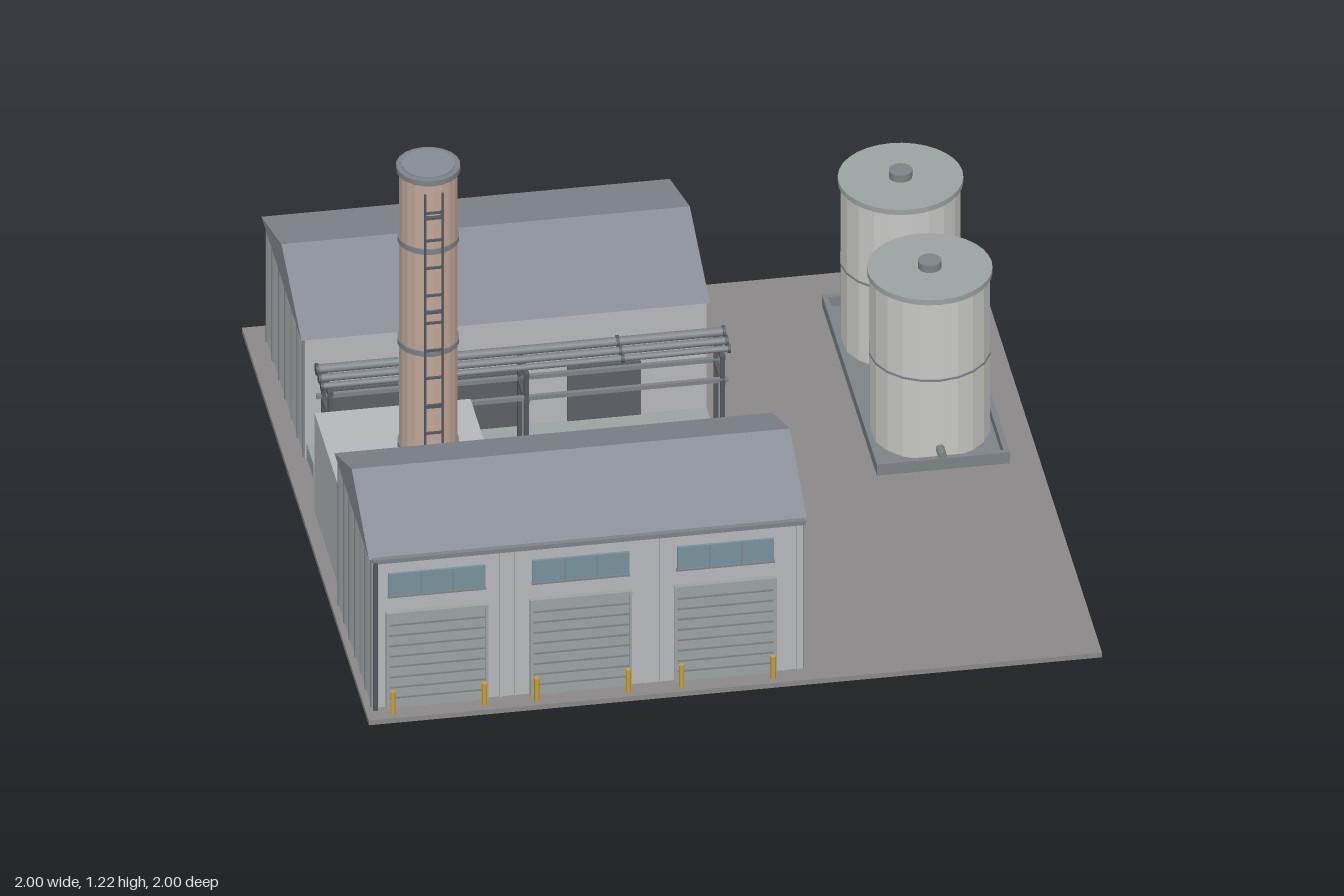
import * as THREE from 'three';

const mat = (color, extra = {}) => new THREE.MeshStandardMaterial({ color, ...extra });
const M = {
  ground: mat(0x8b898a), wall: mat(0xb6b8bb), roof: mat(0x878d95), door: mat(0x9ba3a3),
  glass: mat(0x78929d), steel: mat(0x55595e), trim: mat(0x7d8388), yellow: mat(0xc9a032),
  brick: mat(0xc0a797, { flatShading: true }), tank: mat(0xc8c8c3, { flatShading: true }),
  lid: mat(0x9ba3a3), dark: mat(0x5c6167),
};
const G = 0.015; // top of the yard slab

function add(parent, name, geometry, material, x = 0, y = 0, z = 0) {
  const mesh = new THREE.Mesh(geometry, material);
  mesh.name = name;
  mesh.position.set(x, y, z);
  parent.add(mesh);
  return mesh;
}

// Box given by its extents on each axis
function box(parent, name, material, [x0, x1], [y0, y1], [z0, z1]) {
  return add(parent, name, new THREE.BoxGeometry(x1 - x0, y1 - y0, z1 - z0), material,
    (x0 + x1) / 2, (y0 + y1) / 2, (z0 + z1) / 2);
}

// Upright cylinder from y0 to y1
function column(parent, name, material, r, y0, y1, x, z, sides = 24) {
  return add(parent, name, new THREE.CylinderGeometry(r, r, y1 - y0, sides), material, x, (y0 + y1) / 2, z);
}

// Cylinder lying along x or z
function pipe(parent, name, material, r, length, axis, x, y, z) {
  const m = add(parent, name, new THREE.CylinderGeometry(r, r, length, 10), material, x, y, z);
  if (axis === 'x') m.rotation.z = Math.PI / 2;
  else m.rotation.x = Math.PI / 2;
  return m;
}

function group(parent, name) {
  const g = new THREE.Group();
  g.name = name;
  parent.add(g);
  return g;
}

// Solid triangular roof with its ridge along x
function gableRoof(parent, [x0, x1], [z0, z1], eave, ridge) {
  const s = new THREE.Shape();
  s.moveTo(-z1, eave);
  s.lineTo(-z0, eave);
  s.lineTo(-(z0 + z1) / 2, ridge);
  const geo = new THREE.ExtrudeGeometry(s, { depth: x1 - x0, bevelEnabled: false });
  geo.rotateY(Math.PI / 2);
  add(parent, 'gableRoof', geo, M.roof, x0, 0, 0);
}

// Thin cladding ribs along an end wall at x
function endRibs(parent, x, z0, z1, top, count) {
  for (let i = 0; i <= count; i++) {
    const z = z0 + ((z1 - z0) * i) / count;
    box(parent, 'endRib', M.trim, [x - 0.004, x + 0.004], [G, top], [z - 0.003, z + 0.003]);
  }
}

function frontHall(root) {
  const g = group(root, 'frontHall');
  box(g, 'walls', M.wall, [-0.98, 0.195], [G, 0.49], [0.41, 0.94]);
  gableRoof(g, [-0.99, 0.205], [0.4, 0.945], 0.49, 0.61);
  box(g, 'gutter', M.trim, [-0.98, 0.2], [0.48, 0.493], [0.94, 0.955]);
  endRibs(g, 0.195, 0.42, 0.93, 0.49, 6);
  endRibs(g, -0.98, 0.42, 0.93, 0.49, 6);
  for (let i = 0; i <= 12; i++) {
    const x = -0.97 + i * 0.096;
    box(g, 'backRib', M.trim, [x - 0.003, x + 0.003], [G, 0.49], [0.405, 0.411]);
  }
  column(g, 'drainpipe', M.steel, 0.007, G, 0.485, -0.973, 0.95, 8);

  for (const x of [-0.805, -0.4125, -0.0175]) {
    // Slatted shutter in its frame
    box(g, 'shutter', M.door, [x - 0.135, x + 0.135], [G, 0.315], [0.94, 0.948]);
    for (let k = 1; k < 9; k++) {
      const y = G + k * 0.033;
      box(g, 'shutterSlat', M.trim, [x - 0.13, x + 0.13], [y - 0.002, y + 0.002], [0.947, 0.952]);
    }
    for (const s of [-1, 1]) {
      box(g, 'doorFrame', M.door, [x + s * 0.135 - 0.004, x + s * 0.135 + 0.004], [G, 0.315], [0.94, 0.953]);
      column(g, 'bollard', M.yellow, 0.007, G, 0.085, x + s * 0.125, 0.975, 10);
    }
    box(g, 'doorHead', M.door, [x - 0.139, x + 0.139], [0.31, 0.319], [0.94, 0.955]);
    // Strip window
    box(g, 'window', M.glass, [x - 0.132, x + 0.132], [0.37, 0.44], [0.938, 0.947]);
    for (const dx of [-0.044, 0.044]) {
      box(g, 'mullion', M.trim, [x + dx - 0.002, x + dx + 0.002], [0.37, 0.44], [0.94, 0.949]);
    }
    box(g, 'sill', M.trim, [x - 0.134, x + 0.134], [0.366, 0.371], [0.94, 0.951]);
  }
  for (const x of [-0.61, -0.215, 0.16]) {
    for (const dx of [-0.02, 0.02]) {
      box(g, 'frontRib', M.wall, [x + dx - 0.003, x + dx + 0.003], [G, 0.485], [0.94, 0.944]);
    }
  }
}

function rearHall(root) {
  const g = group(root, 'rearHall');
  box(g, 'walls', M.wall, [-0.945, 0.15], [G, 0.4], [-0.93, -0.325]);
  gableRoof(g, [-0.957, 0.157], [-0.942, -0.31], 0.4, 0.51);
  endRibs(g, -0.945, -0.92, -0.335, 0.4, 6);
  box(g, 'loadingDock', M.door, [-0.94, 0.15], [G, 0.06], [-0.325, -0.22]);
  for (const x of [-0.79, -0.46, -0.13]) {
    box(g, 'dockDoor', M.dark, [x - 0.1, x + 0.1], [0.06, 0.23], [-0.326, -0.318]);
    box(g, 'dockEdge', M.yellow, [x - 0.11, x + 0.11], [0.045, 0.061], [-0.222, -0.216]);
  }
}

function chimney(root) {
  const g = group(root, 'boilerHouse');
  const x = -0.69, z = 0.145;
  box(g, 'boilerBlock', M.wall, [-0.965, -0.54], [G, 0.33], [-0.055, 0.345]);
  column(g, 'stack', M.brick, 0.08, 0.33, 1.215, x, z, 20);
  for (const y of [0.335, 0.665, 0.99, 1.21]) {
    const r = y > 1.2 ? 0.087 : 0.084;
    column(g, 'stackBand', M.trim, r, y - 0.008, y + 0.008, x, z, 20);
  }
  column(g, 'stackMouth', M.roof, 0.072, 1.2, 1.222, x, z, 20);
  // Ladder on the front of the stack
  for (const s of [-1, 1]) {
    box(g, 'ladderRail', M.steel, [x + s * 0.024 - 0.003, x + s * 0.024 + 0.003], [0.33, 1.18], [0.233, 0.239]);
  }
  for (let y = 0.42; y < 1.17; y += 0.0875) {
    box(g, 'ladderRung', M.steel, [x - 0.024, x + 0.024], [y - 0.003, y + 0.003], [0.233, 0.239]);
  }
  for (const y of [0.5, 0.8, 1.1]) box(g, 'ladderBracket', M.steel, [x - 0.024, x + 0.024], [y - 0.003, y + 0.003], [0.215, 0.235]);
}

function tankFarm(root) {
  const g = group(root, 'tankFarm');
  // Low containment wall
  box(g, 'containmentFloor', M.trim, [0.56, 0.91], [G, 0.02], [-0.835, 0.015]);
  for (const x of [0.555, 0.903]) box(g, 'containmentSide', M.trim, [x, x + 0.015], [G, 0.05], [-0.843, 0.022]);
  for (const z of [-0.843, 0.007]) box(g, 'containmentEnd', M.trim, [0.57, 0.903], [G, 0.05], [z, z + 0.015]);
  for (const z of [-0.645, -0.185]) {
    const t = group(g, 'storageTank');
    t.position.set(0.735, 0, z);
    column(t, 'shell', M.tank, 0.163, 0.02, 0.52, 0, 0, 20);
    column(t, 'middleBand', M.trim, 0.165, 0.268, 0.274, 0, 0, 20);
    column(t, 'lid', M.lid, 0.169, 0.515, 0.531, 0, 0, 32);
    column(t, 'hatch', M.trim, 0.032, 0.53, 0.553, 0, 0, 16);
    pipe(t, 'outlet', M.trim, 0.012, 0.05, 'z', 0, 0.055, 0.18);
  }
}

function pipeRack(root) {
  const g = group(root, 'pipeRack');
  for (const x of [-0.92, -0.385, 0.15]) {
    for (const z of [-0.175, -0.072]) {
      box(g, 'rackLeg', M.steel, [x - 0.006, x + 0.006], [G, 0.385], [z - 0.006, z + 0.006]);
    }
    for (const y of [0.3, 0.38]) box(g, 'crossBeam', M.steel, [x - 0.007, x + 0.007], [y - 0.006, y + 0.006], [-0.185, -0.062]);
  }
  for (const z of [-0.175, -0.072]) box(g, 'longBeam', M.trim, [-0.94, 0.165], [0.3, 0.312], [z - 0.006, z + 0.006]);
  for (const [z, r] of [[-0.165, 0.013], [-0.122, 0.011], [-0.085, 0.009]]) {
    pipe(g, 'pipe', M.trim, r, 1.11, 'x', -0.385, 0.386 + r, z);
    for (const x of [-0.94, -0.65, -0.12, 0.17]) pipe(g, 'flange', M.steel, r + 0.004, 0.008, 'x', x, 0.386 + r, z);
  }
}

export function createModel() {
  const root = new THREE.Group();
  root.name = 'factoryYard';
  box(root, 'yardSlab', M.ground, [-1, 1], [0, G], [-1, 1]);
  frontHall(root);
  rearHall(root);
  chimney(root);
  tankFarm(root);
  pipeRack(root);
  return root;
}
